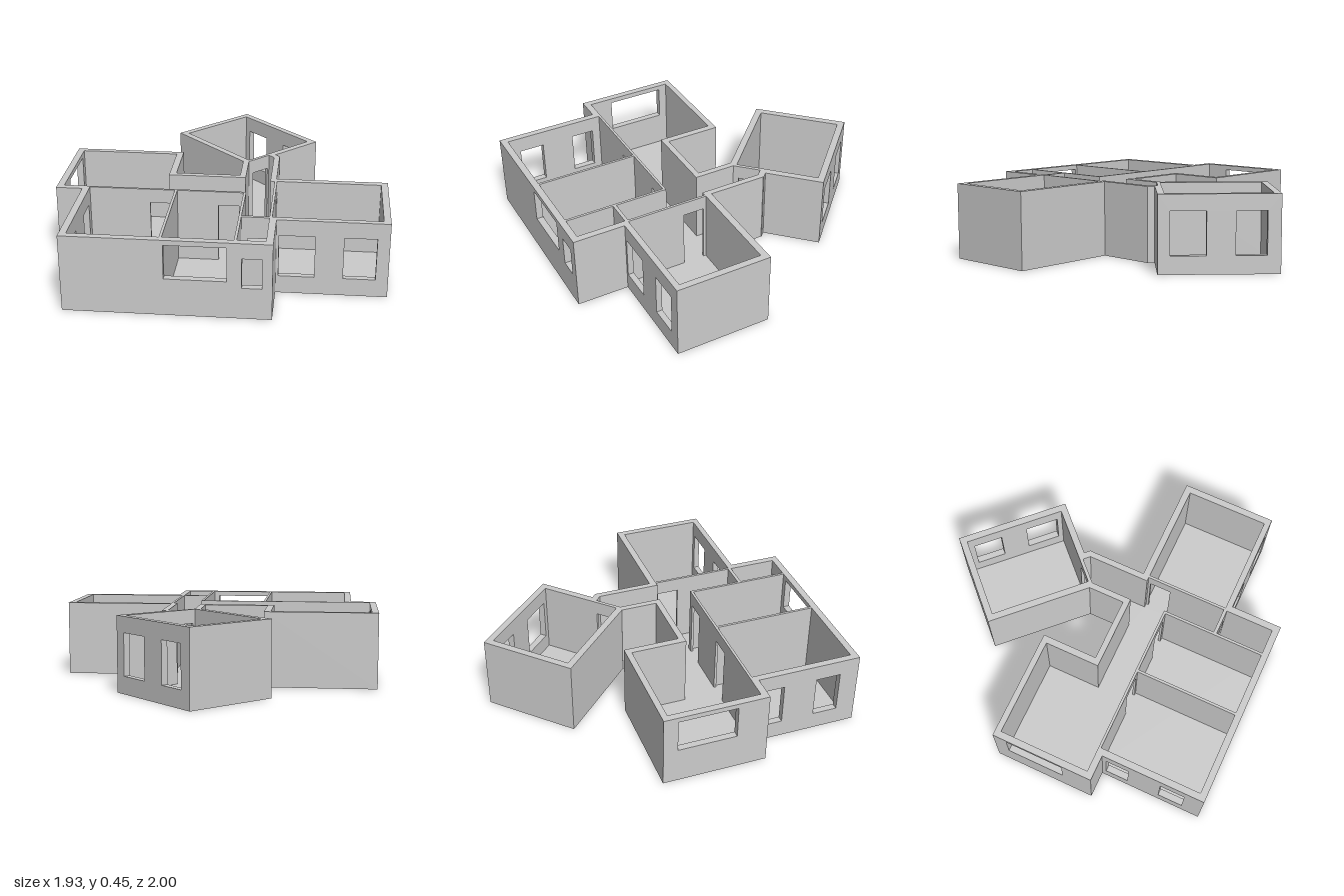
import * as THREE from 'three';

const HEIGHT = 0.45;
const material = new THREE.MeshStandardMaterial({ color: 0xcccccc, flatShading: true });

// Opening heights [sill, head]
const DOOR = [0.01, 0.365];
const WINDOW = [0.105, 0.355];
const HIGH_WINDOW = [0.22, 0.42];

function add(group, name, geometry) {
  const mesh = new THREE.Mesh(geometry, material);
  mesh.name = name;
  group.add(mesh);
}

// Wall over the plan rectangle x0..x1, z0..z1; openings are [from, to, heights] along its long axis
function wall(group, name, [x0, x1, z0, z1], openings = [], base = 0) {
  const alongX = x1 - x0 > z1 - z0;
  const start = alongX ? x0 : z0;
  const length = alongX ? x1 - x0 : z1 - z0;
  const rect = (Type, a, b, c, d) => new Type([[a, c], [b, c], [b, d], [a, d]].map(p => new THREE.Vector2(...p)));
  const shape = rect(THREE.Shape, 0, length, base, HEIGHT);
  for (const [from, to, [sill, head]] of openings) {
    shape.holes.push(rect(THREE.Path, from - start, to - start, sill, head));
  }
  const geometry = new THREE.ExtrudeGeometry(shape, { depth: alongX ? z1 - z0 : x1 - x0, bevelEnabled: false });
  if (alongX) geometry.translate(x0, 0, z0);
  else geometry.rotateY(-Math.PI / 2).translate(x1, 0, z0);
  add(group, name, geometry);
}

// Thin floor slab from a plan outline of [x, z] points
function floor(group, name, outline) {
  const shape = new THREE.Shape(outline.map(([x, z]) => new THREE.Vector2(x, -z)));
  const geometry = new THREE.ExtrudeGeometry(shape, { depth: 0.008, bevelEnabled: false });
  add(group, name, geometry.rotateX(-Math.PI / 2).translate(0, 0.002, 0));
}

export function createModel() {
  const house = new THREE.Group();
  house.name = 'house';

  floor(house, 'mainFloor', [
    [-0.93, -0.22], [-0.34, -0.22], [-0.34, 0.115], [0.12, 0.115], [0.12, -0.14],
    [0.235, -0.255], [0.27, -0.225], [0.27, 0.155], [0.92, 0.155], [0.92, 0.65],
    [0.295, 0.65], [0.295, 0.955], [-0.775, 0.955], [-0.775, 0.325], [-0.93, 0.325],
  ]);

  // Living room
  wall(house, 'livingBackWall', [-0.97, -0.3, -0.255, -0.22]);
  wall(house, 'livingOuterWall', [-0.97, -0.93, -0.22, 0.325], [[-0.17, 0.18, HIGH_WINDOW]]);
  wall(house, 'livingCornerWall', [-0.97, -0.775, 0.325, 0.365]);
  wall(house, 'livingInnerWall', [-0.34, -0.3, -0.22, 0.115]);
  wall(house, 'passageBackWall', [-0.3, 0.12, 0.08, 0.115]);

  // Hall leading to the angled room
  wall(house, 'hallRightWall', [0.085, 0.12, -0.14, 0.08]);
  wall(house, 'hallLeftWall', [0.27, 0.305, -0.235, 0.115]);

  // Front rooms
  wall(house, 'frontWall', [-0.815, 0.335, 0.955, 0.995], [[-0.25, 0.09, HIGH_WINDOW], [0.17, 0.28, [0.185, 0.36]]]);
  wall(house, 'frontRoomSideWall', [-0.815, -0.775, 0.365, 0.955], [[0.39, 0.53, WINDOW], [0.73, 0.88, WINDOW]]);
  wall(house, 'bathroomSideWall', [0.295, 0.335, 0.65, 0.955]);

  // Side room
  wall(house, 'sideRoomBackWall', [0.27, 0.96, 0.115, 0.155]);
  wall(house, 'sideRoomOuterWall', [0.92, 0.96, 0.155, 0.65]);
  wall(house, 'sideRoomFrontWall', [0.335, 0.96, 0.65, 0.685], [[0.35, 0.55, WINDOW], [0.71, 0.89, WINDOW]]);

  // Thin partitions standing on the floor
  const base = 0.005;
  wall(house, 'livingPartition', [-0.775, 0.14, 0.325, 0.34], [[-0.42, -0.29, DOOR], [-0.02, 0.1, DOOR]], base);
  wall(house, 'frontRoomPartition', [-0.275, -0.26, 0.34, 0.955], [], base);
  wall(house, 'hallPartition', [0.125, 0.14, 0.34, 0.955], [], base);
  wall(house, 'bathroomPartition', [0.14, 0.295, 0.645, 0.665], [[0.175, 0.28, [0.225, 0.32]]], base);
  wall(house, 'sideRoomPartition', [0.295, 0.31, 0.155, 0.65], [[0.17, 0.3, DOOR]], base);

  // Angled room, laid out from its rear corner and turned
  const angled = new THREE.Group();
  angled.name = 'angledRoom';
  angled.position.set(0.04, 0, -1);
  angled.rotation.y = -Math.PI / 4;
  house.add(angled);
  floor(angled, 'angledFloor', [[0.04, 0.04], [0.666, 0.04], [0.666, 0.536], [0.04, 0.536]]);
  wall(angled, 'angledWindowWall', [0, 0.686, 0, 0.04], [[0.077, 0.252, WINDOW], [0.415, 0.616, WINDOW]]);
  wall(angled, 'angledRearWall', [0, 0.04, 0.04, 0.536]);
  wall(angled, 'angledInnerWall', [0, 0.646, 0.536, 0.576]);
  wall(angled, 'angledOuterWall', [0.646, 0.686, 0.04, 0.35]);
  wall(angled, 'angledDoorWall', [0.646, 0.666, 0.35, 0.576], [[0.4, 0.52, DOOR]]);
  wall(angled, 'hallEndWall', [0.66, 0.728, 0.35, 0.388]);

  return house;
}
